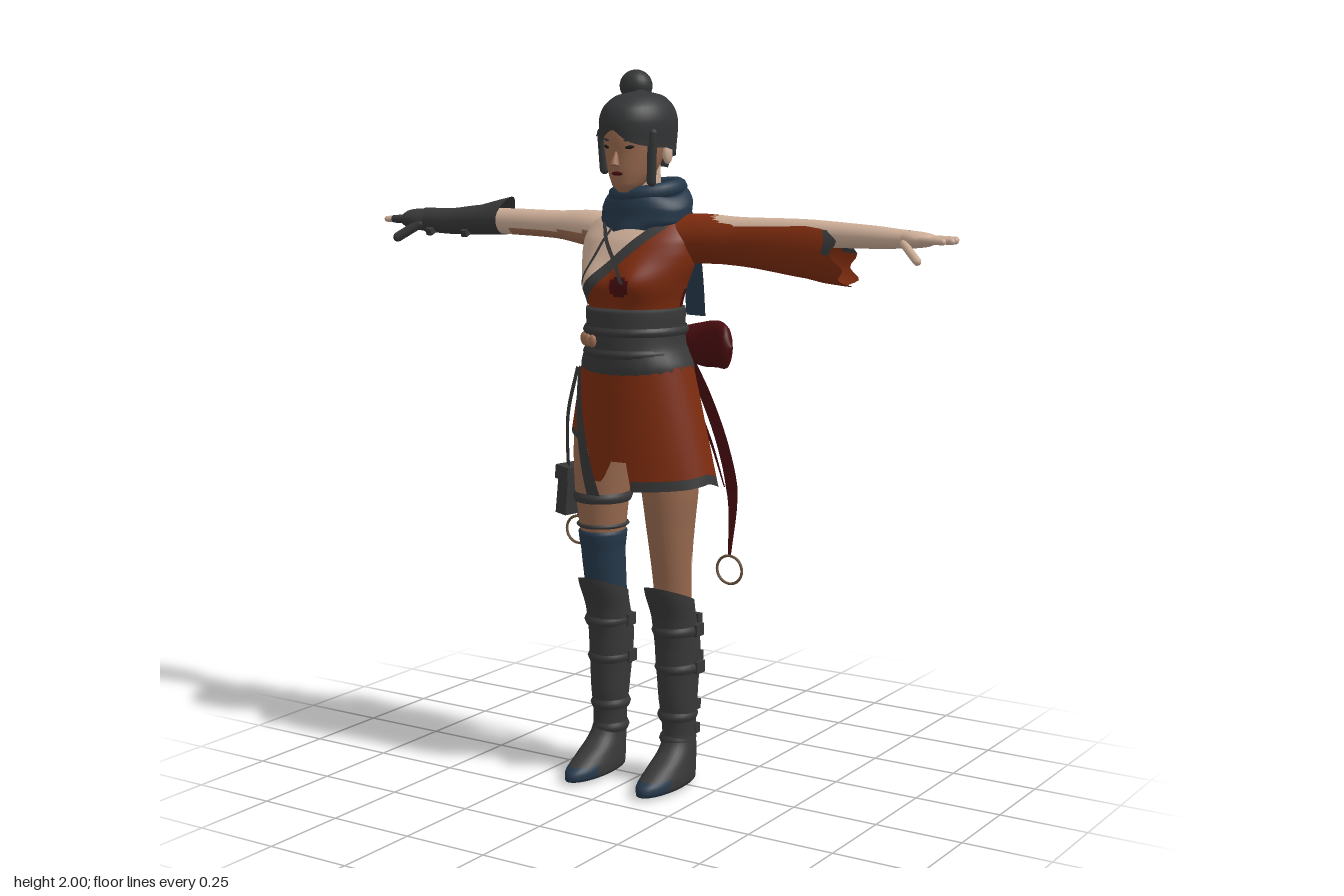
import * as THREE from 'three';

const mat = (name, color) => new THREE.MeshStandardMaterial({ name, color, side: THREE.DoubleSide });
const V = (x, y, z) => new THREE.Vector3(x, y, z);
const TAU = Math.PI * 2, { sin, cos, abs, max, min, exp } = Math;

// Smooth lookup in rows sorted by their first number
function rowAt(rows, t) {
  let i = 0;
  while (i < rows.length - 2 && t > rows[i + 1][0]) i++;
  const [a, b] = [rows[i], rows[i + 1]], p = rows[max(i - 1, 0)], n = rows[min(i + 2, rows.length - 1)];
  const f = b[0] === a[0] ? 1 : min(1, max(0, (t - a[0]) / (b[0] - a[0])));
  return a.map((_, k) => {
    if (k === 0) return t;
    const d1 = (b[k] - p[k]) / 2, d2 = (n[k] - a[k]) / 2, f2 = f * f, f3 = f2 * f;
    const r = (2 * f3 - 3 * f2 + 1) * a[k] + (f3 - 2 * f2 + f) * d1 + (3 * f2 - 2 * f3) * b[k] + (f3 - f2) * d2;
    return min(max(a[k], b[k]), max(min(a[k], b[k]), r));
  });
}

export function createModel() {
  const M = {
    red: mat('rust cloth', 0x7c2b0e), maroon: mat('maroon sash', 0x4a0d10), grey: mat('charcoal leather', 0x383838),
    hair: mat('black hair', 0x343536), blue: mat('slate blue cloth', 0x25384a), skin: mat('light skin', 0xcdae98),
    tan: mat('tan skin', 0x98694f), brass: mat('brass', 0x6e5640), dark: mat('eye black', 0x1c1816),
  };
  const root = new THREE.Group();
  const add = (name, geo, m, pos = [0, 0, 0], rot = [0, 0, 0], scale = [1, 1, 1]) => {
    const mesh = new THREE.Mesh(geo, m);
    mesh.name = name;
    mesh.position.set(...pos); mesh.rotation.set(...rot); mesh.scale.set(...scale);
    root.add(mesh);
    return mesh;
  };

  // Grid surface: fn(u, v) gives points, pick(centre) chooses a material index
  function surf(name, mats, nu, nv, fn, { closed = false, pick = () => 0 } = {}) {
    const list = [].concat(mats), pos = [], pts = [], buckets = list.map(() => []), W = nu + 1;
    for (let j = 0; j <= nv; j++) for (let i = 0; i <= nu; i++) {
      const p = fn(i / nu, j / nv);
      pts.push(p); pos.push(p.x, p.y, p.z);
    }
    for (let j = 0; j < nv; j++) for (let i = 0; i < nu; i++) {
      const k = closed ? (i + 1) % nu : i + 1;
      const a = j * W + i, b = j * W + k, c = b + W, d = a + W;
      const mid = V(0, 0, 0).add(pts[a]).add(pts[b]).add(pts[c]).add(pts[d]).multiplyScalar(0.25);
      buckets[pick(mid, (i + 0.5) / nu, (j + 0.5) / nv)].push(a, b, c, a, c, d);
    }
    const g = new THREE.BufferGeometry();
    g.setAttribute('position', new THREE.Float32BufferAttribute(pos, 3));
    g.setIndex(buckets.flat());
    let start = 0;
    buckets.forEach((b, i) => { g.addGroup(start, b.length, i); start += b.length; });
    g.computeVertexNormals();
    return add(name, g, list.length > 1 ? list : list[0]);
  }
  // Elliptic loft; rows are [along, centre, centre, radius, radius]
  function loft(name, mats, rows, { axis = 'y', seg = 28, nv = 28, pick, mod } = {}) {
    const r = [...rows].sort((a, b) => a[0] - b[0]), t0 = r[0][0], t1 = r[r.length - 1][0];
    return surf(name, mats, seg, nv, (u, v) => {
      const a = u * TAU, [t, c, d, p, q] = rowAt(r, t0 + (t1 - t0) * v);
      const pt = axis === 'y' ? V(c + p * sin(a), t, d + q * cos(a)) : V(t, c + p * cos(a), d + q * sin(a));
      if (mod) mod(pt, a, v);
      return pt;
    }, { closed: true, pick });
  }
  const ribbon = (name, m, pts, w, taper = () => 1) => {
    const c = new THREE.CatmullRomCurve3(pts.map(p => V(...p)));
    return surf(name, m, 2, 20, (u, v) => c.getPoint(v).addScaledVector(V(...w), (u - 0.5) * taper(v)));
  };
  const capsule = (name, m, a, b, r) => {
    const A = V(...a), B = V(...b), d = B.clone().sub(A);
    const mesh = add(name, new THREE.CapsuleGeometry(r, d.length(), 4, 8), m);
    mesh.position.copy(A).lerp(B, 0.5);
    mesh.quaternion.setFromUnitVectors(V(0, 1, 0), d.normalize());
  };
  const ball = (name, m, pos, s, rot) => add(name, new THREE.SphereGeometry(1, 24, 16), m, pos, rot, s);
  const band = (name, m, y, cx, cz, rx, rz, h = 0.012) =>
    loft(name, m, [[y - h, cx, cz, rx, rz], [y, cx, cz, rx + 0.006, rz + 0.006], [y + h, cx, cz, rx, rz]], { nv: 4 });

  // Torso: tunic over the left shoulder, right shoulder bare
  const torso = [[1.3, 0, 0.025, 0.125, 0.125], [1.36, 0, 0.025, 0.13, 0.125], [1.42, 0, 0.025, 0.148, 0.13],
    [1.48, 0, 0.012, 0.168, 0.122], [1.54, 0, 0, 0.172, 0.108], [1.59, 0, -0.018, 0.15, 0.085],
    [1.62, 0, -0.025, 0.09, 0.065], [1.64, 0, -0.02, 0.04, 0.05]];
  const bust = (x, y) => 0.026 * exp(-(((abs(x) - 0.07) / 0.05) ** 2) - ((y - 1.435) / 0.055) ** 2);
  loft('torso', [M.red, M.skin, M.maroon], torso, {
    seg: 72, nv: 44, mod: (p) => { if (p.z > 0.03) p.z += bust(p.x, p.y); },
    pick: (p) => {
      const edge = p.z > 0.01 ? p.y - 1.48 : (p.y - 1.58) * 0.8;
      if (p.x < edge) return 1;
      if (p.z > 0 && ((p.x - 0.03) / 0.035) ** 2 + ((p.y - 1.42) / 0.03) ** 2 < 1) return 2;
      return p.z < 0 && p.y < 1.41 ? 2 : 0;
    },
  });
  // Straps that follow the torso, front (side 1) or back (side -1)
  const strap = (name, a, b, w, side) => surf(name, M.grey, 2, 24, (u, v) => {
    const y = a[1] + (b[1] - a[1]) * v, x = a[0] + (b[0] - a[0]) * v + (u - 0.5) * w;
    const [, cx, cz, rx, rz] = rowAt(torso, y), s = max(-1, min(1, (x - cx) / rx));
    const z = cz + side * (rz * Math.sqrt(1 - s * s) + 0.007);
    return V(x, y, z + (side > 0 ? bust(x, y) : 0));
  });
  strap('collarEdge', [0.1, 1.58], [-0.12, 1.36], 0.042, 1);
  strap('chestStrap', [-0.08, 1.59], [0.05, 1.43], 0.014, 1);
  strap('neckStrap', [-0.03, 1.6], [-0.1, 1.4], 0.01, 1);
  strap('backEdge', [0, 1.58], [-0.14, 1.38], 0.03, -1);
  strap('backStrap', [-0.08, 1.57], [0.07, 1.38], 0.016, -1);
  loft('neck', M.skin, [[1.56, 0, -0.02, 0.06, 0.06], [1.65, 0, -0.018, 0.045, 0.05], [1.77, 0, -0.01, 0.045, 0.055]]);

  // Arms
  const shoulder = [[0.08, 1.55, -0.025, 0.055, 0.065], [0.18, 1.56, -0.035, 0.052, 0.058],
    [0.3, 1.567, -0.04, 0.04, 0.042], [0.5, 1.57, -0.045, 0.037, 0.038], [0.7, 1.567, -0.045, 0.03, 0.032], [0.79, 1.565, -0.045, 0.024, 0.027]];
  const side = (rows, s) => rows.map(([x, ...r]) => [x * s, ...r]);
  loft('rightArm', [M.skin, M.tan], side(shoulder, -1), {
    axis: 'x', pick: (p) => (p.y < 1.553 && p.x > -0.45 && p.x < -0.15 ? 1 : 0),
  });
  loft('leftArm', M.skin, shoulder, { axis: 'x' });
  loft('sleeve', [M.red, M.grey], [[0.09, 1.54, -0.025, 0.07, 0.078], [0.18, 1.545, -0.035, 0.068, 0.068],
    [0.3, 1.54, -0.042, 0.066, 0.054], [0.5, 1.528, -0.045, 0.078, 0.053], [0.6, 1.518, -0.047, 0.084, 0.055]], {
    axis: 'x', seg: 40, nv: 30,
    mod: (p, a, v) => { if (v > 0.9) p.x += (v - 0.9) * (0.14 * sin(a * 7) - 0.22 * cos(a)); },
    pick: (p, u, v) => (v > 0.94 && p.y > 1.52 ? 1 : 0),
  });
  loft('bracer', M.grey, [[-0.79, 1.565, -0.048, 0.036, 0.04], [-0.7, 1.563, -0.05, 0.038, 0.043], [-0.6, 1.57, -0.05, 0.043, 0.05],
    [-0.5, 1.575, -0.05, 0.045, 0.05]], {
    axis: 'x', mod: (p, a, v) => { const k = max(0, v - 0.7) * max(0, cos(a)) ** 3; p.y += k * 0.07; p.x += k * 0.08; },
  });
  for (const x of [-0.75, -0.62]) add('bracerBuckle', new THREE.BoxGeometry(0.02, 0.02, 0.1), M.grey, [x, 1.55, -0.05], [0.4, 0, 0]);
  for (const s of [-1, 1]) {
    const glove = s < 0 ? M.grey : M.skin, g = s < 0 ? 0.01 : 0;
    loft('palm', glove, side([[0.77, 1.565, -0.045, 0.024 + g, 0.026 + g], [0.81, 1.565, -0.045, 0.022 + g, 0.038 + g],
      [0.85, 1.565, -0.045, 0.016 + g, 0.04 + g / 2], [0.87, 1.565, -0.045, 0.002, 0.03]], s), { axis: 'x', nv: 12 });
    for (let i = 0; i < 4; i++) {
      const z = -0.078 + i * 0.022, tip = 0.92 - 0.012 * abs(i - 1.6);
      capsule('finger', M.skin, [s * 0.84, 1.567, z], [s * tip, 1.565, z * 1.3 + 0.014], 0.009);
      if (s < 0) capsule('gloveFinger', M.grey, [-0.83, 1.567, z], [-0.88, 1.566, z * 1.15 + 0.007], 0.012);
    }
    capsule('thumb', glove, [s * 0.79, 1.555, -0.015], [s * 0.845, 1.515, 0.022], 0.011 + g / 3);
  }

  // Head and face
  loft('head', M.tan, [[1.67, 0, 0.085, 0.012, 0.012], [1.685, 0, 0.07, 0.036, 0.042], [1.72, 0, 0.045, 0.058, 0.075], [1.77, 0, 0.03, 0.074, 0.093],
    [1.82, 0, 0.02, 0.082, 0.107], [1.88, 0, 0.015, 0.08, 0.1], [1.92, 0, 0.01, 0.05, 0.06]]);
  add('nose', new THREE.ConeGeometry(0.014, 0.05, 8), M.tan, [0, 1.768, 0.124], [-0.25, 0, 0]);
  ball('lips', M.maroon, [0, 1.722, 0.117], [0.018, 0.006, 0.006]);
  for (const s of [-1, 1]) {
    ball('eye', M.dark, [s * 0.034, 1.793, 0.112], [0.015, 0.006, 0.005], [0, s * 0.4, s * 0.12]);
    ball('brow', M.hair, [s * 0.034, 1.812, 0.114], [0.018, 0.004, 0.005], [0, s * 0.4, s * 0.15]);
    ball('ear', M.skin, [s * 0.08, 1.775, -0.01], [0.012, 0.03, 0.018]);
    capsule('sideLock', M.hair, [s * 0.082, 1.83, 0.07], [s * 0.076, s > 0 ? 1.7 : 1.73, 0.066], 0.013);
  }
  // Hair: cap with a swept fringe, low nape, bun and pins
  loft('hairCap', M.hair, [[1.815, 0, 0.012, 0.093, 0.124], [1.86, 0, 0.012, 0.1, 0.126], [1.9, 0, 0.01, 0.088, 0.113],
    [1.93, 0, 0.005, 0.058, 0.075], [1.946, 0, 0, 0.002, 0.002]], {
    seg: 40, mod: (p, a, v) => {
      const k = max(0, 1 - v * 3);
      p.y += k * (cos(a) > 0 ? 0.025 * exp(-(((p.x + 0.01) / 0.035) ** 2)) - 0.025 * abs(sin(a)) : -0.025 + 0.03 * cos(a));
    },
  });
  surf('hairNape', M.hair, 24, 6, (u, v) => {
    const a = 1.95 + u * (TAU - 3.9), k = 0.75 + 0.25 * v;
    return V(0.098 * k * sin(a), 1.735 + 0.1 * v, 0.01 + 0.125 * k * cos(a));
  });
  ball('bun', M.hair, [-0.045, 1.956, -0.045], [0.046, 0.044, 0.044]);
  add('bunTie', new THREE.TorusGeometry(0.032, 0.009, 8, 24), M.maroon, [-0.04, 1.928, -0.038], [Math.PI / 2, 0, 0]);
  capsule('hairPin', M.red, [-0.08, 1.89, -0.03], [-0.125, 1.85, -0.015], 0.008);
  for (const i of [0, 1]) capsule('pinStrand', M.brass, [-0.09, 1.91 - i * 0.01, -0.02], [-0.152 + i * 0.02, 1.82, -0.01], 0.0025);

  // Scarf with a tail down the back
  loft('scarfDrape', M.blue, [[1.575, 0.01, 0.0, 0.09, 0.1], [1.6, 0.01, -0.012, 0.13, 0.105], [1.635, 0.012, -0.015, 0.132, 0.105],
    [1.67, 0.01, -0.018, 0.11, 0.095], [1.685, 0.01, -0.018, 0.075, 0.07], [1.68, 0.01, -0.018, 0.05, 0.05]], {
    seg: 40, mod: (p, a) => { p.y += 0.008 * sin(a * 3 + 1) - 0.01 * cos(a); },
  });
  add('scarfRoll', new THREE.TorusGeometry(0.086, 0.024, 10, 36), M.blue, [0.01, 1.672, -0.02], [Math.PI / 2 + 0.12, 0.08, 0]);
  ribbon('scarfTail', M.blue, [[0.05, 1.65, -0.115], [0.07, 1.55, -0.137], [0.085, 1.43, -0.14], [0.09, 1.32, -0.145]], [0.07, 0, 0.012]);
  ribbon('scarfTailShort', M.blue, [[0.02, 1.65, -0.112], [0.02, 1.55, -0.13], [0.035, 1.46, -0.135]], [0.045, 0, -0.01]);

  // Waist sash
  loft('sash', M.grey, [[1.17, 0.005, 0.025, 0.165, 0.132], [1.2, 0.005, 0.025, 0.163, 0.138], [1.25, 0, 0.025, 0.142, 0.14],
    [1.3, 0, 0.025, 0.136, 0.139], [1.355, 0, 0.025, 0.138, 0.138], [1.362, 0, 0.025, 0.12, 0.12]]);
  for (const y of [1.235, 1.295]) band('sashCord', M.grey, y, 0, 0.025, 0.141, 0.142);
  for (let i = 0; i < 5; i++) {
    const a = -1.2 + i * 0.2;
    ball('sashBead', M.tan, [0.142 * sin(a), 1.268, 0.025 + 0.144 * cos(a)], [0.012, 0.018, 0.01]);
  }

  // Torn skirt: hem height by angle in degrees, 0 at the front and 90 at the left
  const hem = [[0, 0.94], [14, 0.94], [15, 0.86], [60, 0.87], [85, 0.88], [110, 0.86], [135, 0.87], [150, 0.98], [158, 0.89], [172, 0.9],
    [180, 1.02], [190, 0.9], [203, 0.87], [212, 1.0], [228, 0.87], [245, 0.96], [270, 1.03], [300, 1.0], [335, 0.98], [345, 0.88], [352, 0.88], [360, 0.94]];
  const hemAt = (d) => {
    const i = max(1, hem.findIndex((h) => h[0] >= d)), [a, b] = [hem[i - 1], hem[i]];
    return a[1] + (b[1] - a[1]) * (d - a[0]) / (b[0] - a[0]);
  };
  const skirtAt = (a, y, off = 0) => {
    const d = 1.2 - y;
    return V(0.005 + (0.163 + d * 0.22 + off) * sin(a), y, 0.026 - d * 0.05 + (0.132 + d * 0.05 + off) * cos(a));
  };
  surf('skirt', [M.red, M.grey], 120, 24, (u, v) => {
    const h = hemAt(u * 360);
    return skirtAt(u * TAU, h + (1.2 - h) * v);
  }, { closed: true, pick: (p, u, v) => (v < 0.09 && u > 0.04 && u < 0.9 ? 1 : 0) });
  surf('skirtSlitTrim', M.grey, 2, 16, (u, v) => skirtAt(-0.24 - 0.65 * v + (u - 0.5) * 0.2, 0.84 + 0.35 * v, 0.007));

  // Bow with long tails and rings
  ball('bowKnot', M.maroon, [0, 1.25, -0.145], [0.04, 0.045, 0.035]);
  for (const s of [-1, 1]) {
    loft('bowLoop', M.maroon, side([[0.01, 1.25, -0.135, 0.03, 0.022], [0.1, 1.24, -0.15, 0.06, 0.036],
      [0.17, 1.245, -0.135, 0.066, 0.036], [0.215, 1.24, -0.11, 0.055, 0.028], [0.235, 1.24, -0.1, 0.004, 0.004]], s), { axis: 'x' });
    const [ex, ey] = s > 0 ? [0.243, 0.662] : [-0.265, 0.718];
    ribbon('sashTail', M.maroon, [[s * 0.04, 1.23, -0.15], [s * 0.11, 1.1, -0.16], [s * 0.18, 0.95, -0.15], [s * 0.225, 0.82, -0.125], [ex, ey, -0.08]],
      [s * 0.055, 0.012, 0.03], (v) => 1 - 0.75 * max(0, v - 0.7) / 0.3);
    ribbon('sashTailInner', M.maroon, [[s * 0.02, 1.23, -0.15], [s * 0.06, 1.1, -0.17], [s * 0.13, 0.96, -0.165], [s * 0.19, 0.84, -0.14]],
      [s * 0.03, 0.01, 0.02], (v) => 1 - 0.8 * v);
    add('tailRing', new THREE.TorusGeometry(0.04, 0.004, 8, 32), M.brass, [ex + (s > 0 ? 0 : -0.005), ey - 0.042, -0.08]);
  }

  // Legs and boots
  for (const s of [-1, 1]) {
    loft('leg', [M.tan, M.skin], [[0.5, s * 0.112, 0.005, 0.052, 0.055], [0.58, s * 0.114, 0.012, 0.054, 0.056], [0.66, s * 0.114, 0.02, 0.058, 0.062],
      [0.75, s * 0.113, 0.023, 0.066, 0.074], [0.85, s * 0.112, 0.025, 0.077, 0.086], [1, s * 0.1, 0.025, 0.086, 0.098], [1.16, s * 0.075, 0.02, 0.085, 0.1]],
      { pick: (p) => (s > 0 && p.y < 0.66 && p.z < 0 ? 1 : 0) });
    loft('boot', [M.grey, M.blue], [[0, s * 0.12, 0.055, 0.001, 0.001], [0.002, s * 0.12, 0.055, 0.046, 0.13], [0.03, s * 0.12, 0.054, 0.054, 0.135],
      [0.06, s * 0.12, 0.03, 0.051, 0.11], [0.1, s * 0.12, -0.005, 0.047, 0.073], [0.14, s * 0.118, -0.017, 0.045, 0.052], [0.25, s * 0.115, -0.016, 0.053, 0.062],
      [0.4, s * 0.112, -0.018, 0.061, 0.073], [0.48, s * 0.111, 0, 0.061, 0.071], [0.555, s * 0.111, 0.026, 0.064, 0.086]], {
      nv: 60, mod: (p, a, v) => { if (v > 0.8) p.y += (v - 0.8) * 0.17 * cos(a); },
      pick: (p) => (p.z > 0.11 && p.y > 0.004 && p.y < 0.05 ? 1 : 0),
    });
    for (const [y, cz, rx, rz] of [[0.13, -0.017, 0.045, 0.053], [0.2, -0.016, 0.05, 0.058], [0.34, -0.018, 0.058, 0.069], [0.45, -0.008, 0.061, 0.073]]) {
      band('bootStrap', M.grey, y, s * 0.114, cz, rx, rz, 0.014);
      if (y > 0.3) for (const k of [-1, 1])
        add('bootBuckle', new THREE.BoxGeometry(0.018, 0.034, 0.04), M.grey, [s * 0.114 + k * rx, y, cz - 0.015]);
      add('bootClasp', new THREE.BoxGeometry(0.04, 0.028, 0.022), M.grey, [s * 0.125, y + 0.015, cz - rz - 0.006]);
    }
  }
  // Right thigh: sock, bands and holster
  loft('sock', M.blue, [[0.52, -0.112, 0.008, 0.058, 0.06], [0.66, -0.114, 0.02, 0.062, 0.066], [0.715, -0.114, 0.022, 0.067, 0.074], [0.72, -0.114, 0.022, 0.06, 0.066]]);
  band('sockCord', M.grey, 0.733, -0.113, 0.023, 0.067, 0.075, 0.006);
  band('thighBand', M.grey, 0.815, -0.112, 0.025, 0.077, 0.085, 0.014);
  add('holster', new THREE.BoxGeometry(0.04, 0.13, 0.08), M.grey, [-0.207, 0.82, 0.04], [0, -0.2, -0.12]);
  add('holsterFlap', new THREE.BoxGeometry(0.05, 0.04, 0.09), M.grey, [-0.205, 0.875, 0.04], [0, -0.2, -0.12]);
  ribbon('holsterStrap', M.grey, [[-0.165, 1.18, 0.07], [-0.195, 1.05, 0.075], [-0.205, 0.95, 0.065], [-0.205, 0.88, 0.06]], [0.025, 0, 0.02]);
  return root;
}
